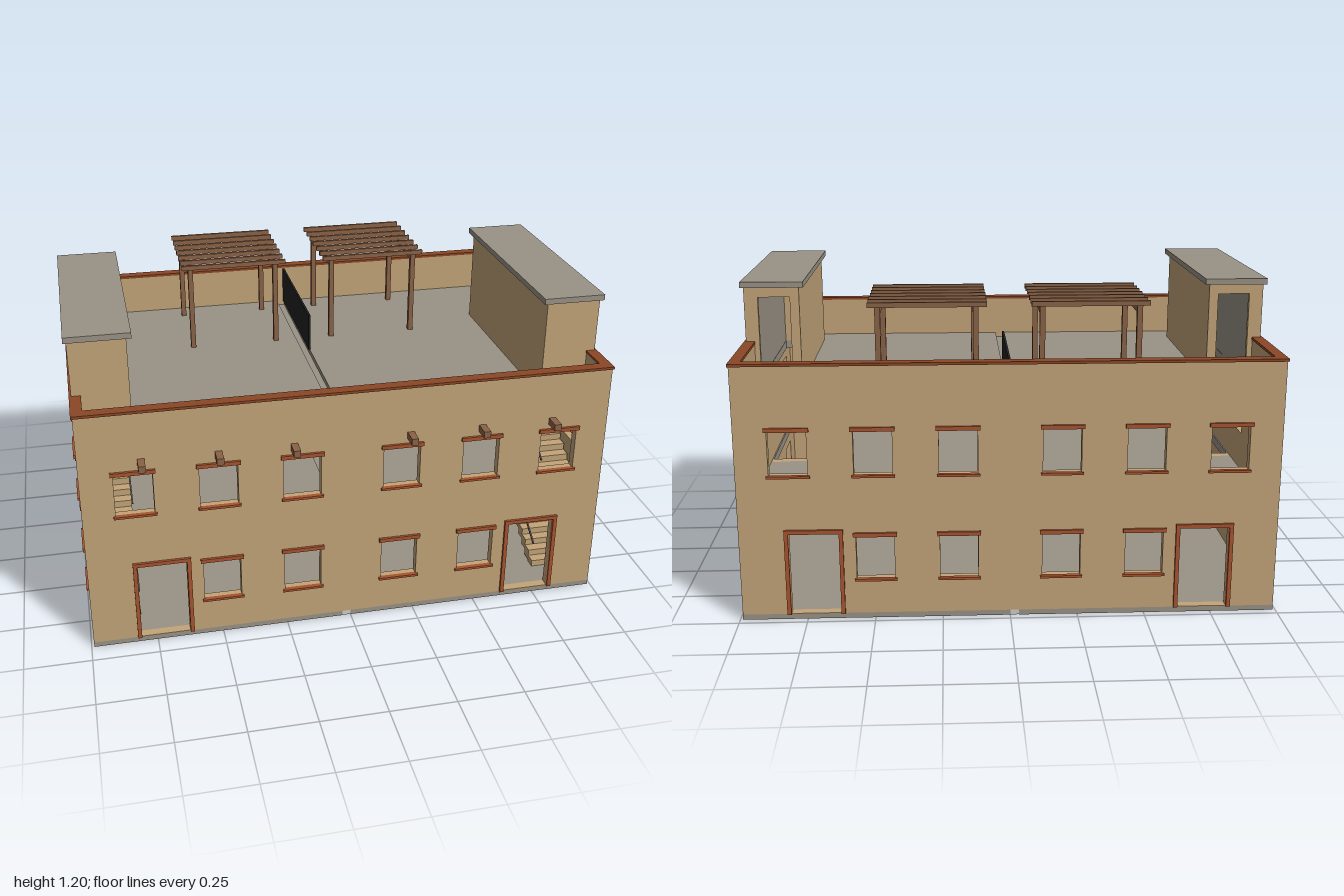
import * as THREE from 'three';

const mat = (name, color, side = THREE.FrontSide) => {
  const m = new THREE.MeshStandardMaterial({ color, side });
  m.name = name;
  return m;
};

export function createModel() {
  const adobe = mat('adobe', 0xc4a579);
  const concrete = mat('concrete', 0x9a9386);
  const coping = mat('copingBrown', 0x8b4726);
  const trim = mat('terracottaTrim', 0xa9542f);
  const wood = mat('wood', 0x8b6347);
  const black = mat('blackScreen', 0x222222);
  const metal = mat('railMetal', 0x55504a);
  const joint = mat('jointGrey', 0xcfcfca);

  const model = new THREE.Group();
  model.name = 'building';

  // Box given by its min and max corners
  function box(name, material, x0, x1, y0, y1, z0, z1, parent = model) {
    const m = new THREE.Mesh(new THREE.BoxGeometry(Math.abs(x1 - x0), y1 - y0, z1 - z0), material);
    m.position.set((x0 + x1) / 2, (y0 + y1) / 2, (z0 + z1) / 2);
    m.name = name;
    parent.add(m);
    return m;
  }

  // Extruded rectangle with rectangular holes, each [u0, u1, v0, v1]
  function panel(rect, holes, depth) {
    const trace = (p, [u0, u1, v0, v1]) => {
      p.moveTo(u0, v0); p.lineTo(u1, v0); p.lineTo(u1, v1); p.lineTo(u0, v1); p.closePath();
      return p;
    };
    const shape = trace(new THREE.Shape(), rect);
    holes.forEach(h => shape.holes.push(trace(new THREE.Path(), h)));
    return new THREE.ExtrudeGeometry(shape, { depth, bevelEnabled: false });
  }
  function add(name, geometry, material, x = 0, y = 0, z = 0) {
    const m = new THREE.Mesh(geometry, material);
    m.name = name;
    m.position.set(x, y, z);
    model.add(m);
    return m;
  }

  const X = 0.99, ZF = 0.67, ZB = -0.72, T = 0.035, TOP = 0.96;
  const FLOOR1 = 0.02, FLOOR2 = 0.41, ROOF = 0.8;
  const levels = [[0.155, 0.325], [0.555, 0.725]];
  const W = 0.07;

  // Base slabs with the joint between them
  box('baseSlab', concrete, 0, X, 0, FLOOR1, ZB, ZF);
  box('baseSlab', concrete, -X, -0.033, 0, FLOOR1, ZB, ZF);
  box('baseJoint', joint, -0.033, 0, 0.001, FLOOR1, ZB, ZF);

  // Openings of the long and the short walls
  const longHoles = [], sideHoles = [];
  levels.forEach(([y0, y1], level) => {
    [-0.8, -0.495, -0.188, 0.188, 0.495, 0.8].forEach(c => {
      if (level === 1 || Math.abs(c) < 0.7) longHoles.push([c - W, c + W, y0, y1]);
    });
    [0.437, 0.13, -0.178, -0.485].forEach(c => sideHoles.push([c - W, c + W, y0, y1]));
  });
  const doorHoles = [-0.718, 0.718].map(c => [c - 0.092, c + 0.092, 0.0215, 0.335]);

  // Outer walls
  const longWall = panel([-X, X, FLOOR1, TOP], [...longHoles, ...doorHoles], T);
  add('frontWall', longWall, adobe, 0, 0, ZF - T);
  add('backWall', longWall, adobe, 0, 0, ZB);
  const sideWall = panel([ZB + T, ZF - T, FLOOR1, TOP], sideHoles, T).rotateY(-Math.PI / 2);
  add('sideWall', sideWall, adobe, X, 0, 0);
  add('sideWall', sideWall, adobe, -X + T, 0, 0);

  // Window lintels and sills, and door frames
  const P = 0.01;
  for (const [z0, z1] of [[ZF - 0.008, ZF + P], [ZB - P, ZB + 0.008]]) {
    longHoles.forEach(([a, b, y0, y1]) => {
      box('windowLintel', trim, a - 0.01, b + 0.01, y1 - 0.004, y1 + 0.011, z0, z1);
      box('windowSill', trim, a - 0.008, b + 0.008, y0 - 0.007, y0 + 0.002, z0, z1);
    });
    doorHoles.forEach(([a, b, , y1]) => {
      box('doorHead', trim, a - 0.015, b + 0.015, y1, y1 + 0.015, z0, z1);
      box('doorJamb', trim, a - 0.015, a, FLOOR1, y1, z0, z1);
      box('doorJamb', trim, b, b + 0.015, FLOOR1, y1, z0, z1);
    });
  }
  for (const [x0, x1] of [[X - 0.008, X + P], [-X - P, -X + 0.008]]) {
    sideHoles.forEach(([a, b, y0, y1]) => {
      box('windowLintel', trim, x0, x1, y1 - 0.004, y1 + 0.011, a - 0.006, b + 0.006);
      box('windowSill', trim, x0, x1, y0 - 0.007, y0 + 0.002, a - 0.006, b + 0.006);
    });
  }

  // Parapet coping
  const copingGeo = panel([-0.995, 0.995, ZB - 0.005, ZF + 0.005],
    [[-0.953, 0.953, ZB + 0.039, ZF - 0.039]], 0.01).rotateX(Math.PI / 2);
  add('parapetCoping', copingGeo, coping, 0, TOP + 0.01, 0);

  // Upper floor and roof slabs with stair openings, split by a sunken joint
  const zi0 = ZB + T, zi1 = ZF - T;
  for (const y of [FLOOR2, ROOF]) {
    for (const s of [-1, 1]) {
      const rect = s > 0 ? [0, X - T, zi0, zi1] : [-X + T, -0.033, zi0, zi1];
      const hole = s > 0 ? [0.8, 0.95, -0.08, 0.49] : [-0.95, -0.8, -0.08, 0.49];
      add(y === ROOF ? 'roofSlab' : 'upperFloor',
        panel(rect, [hole], 0.035).rotateX(Math.PI / 2), concrete, 0, y, 0);
    }
    box('slabJoint', concrete, -0.033, 0, y - 0.035, y - 0.02, zi0, zi1);
  }

  // Dark screen dividing the roof terrace
  box('terraceScreen', black, -0.005, 0.003, ROOF, 0.955, zi0, -0.1);

  // Beam ends on the front
  [-0.768, -0.493, -0.218, 0.218, 0.493, 0.768].forEach(c =>
    box('beamEnd', wood, c - 0.013, c + 0.013, 0.755, 0.781, ZF - 0.02, 0.73));

  // Sides mirrored: stairs, stair houses and pergolas
  for (const s of [-1, 1]) {
    const part = (name, m, x0, x1, ...r) => box(name, m, s * x0, s * x1, ...r);

    // Stair flights with handrails
    const steps = 15, run = 0.041, rise = (FLOOR2 - FLOOR1) / steps, start = 0.53;
    for (const base of [FLOOR1, FLOOR2]) {
      for (let i = 0; i < steps; i++) {
        const y = base + (i + 1) * rise, z = start - i * run;
        part('stairStep', adobe, 0.803, 0.95, Math.max(base, y - 0.045), y, z - run, z);
      }
      const len = Math.hypot(steps * run, steps * rise);
      const rail = part('handrail', metal, 0.8, 0.806, 0, 0.006, -len / 2, len / 2);
      rail.position.y = base + steps * rise / 2 + 0.11;
      rail.position.z = start - steps * run / 2;
      rail.rotation.x = Math.atan2(rise, run);
    }

    // Stair house on the roof, open at the back
    part('stairHouseInnerWall', adobe, 0.78, 0.8, ROOF, 1.18, -0.34, 0.51);
    part('stairHouseOuterWall', adobe, 0.957, 0.987, TOP, 1.18, -0.34, 0.51);
    part('stairHouseFrontWall', adobe, 0.8, 0.957, ROOF, 1.18, 0.49, 0.51);
    part('stairHouseBackJamb', adobe, 0.8, 0.815, ROOF, 1.14, -0.34, -0.32);
    part('stairHouseBackJamb', adobe, 0.935, 0.957, ROOF, 1.14, -0.34, -0.32);
    part('stairHouseBackHead', adobe, 0.8, 0.957, 1.14, 1.18, -0.34, -0.32);
    part('stairHouseLining', concrete, 0.951, 0.957, ROOF, 1.18, -0.32, 0.49);
    part('stairHouseRoof', concrete, 0.762, 0.998, 1.178, 1.2, -0.355, 0.525);

    // Pergola
    for (const x of [0.12, 0.472]) {
      for (const z of [-0.6, -0.235])
        part('pergolaPost', wood, x - 0.01, x + 0.01, ROOF, 1.122, z - 0.01, z + 0.01);
      part('pergolaBeam', wood, x - 0.01, x + 0.01, 1.12, 1.147, -0.61, -0.222);
    }
    for (let i = 0; i < 7; i++) {
      const z = -0.615 + i * 0.0665;
      part('pergolaRafter', wood, 0.08, 0.508, 1.147, 1.165, z - 0.006, z + 0.006);
    }
  }
  return model;
}
